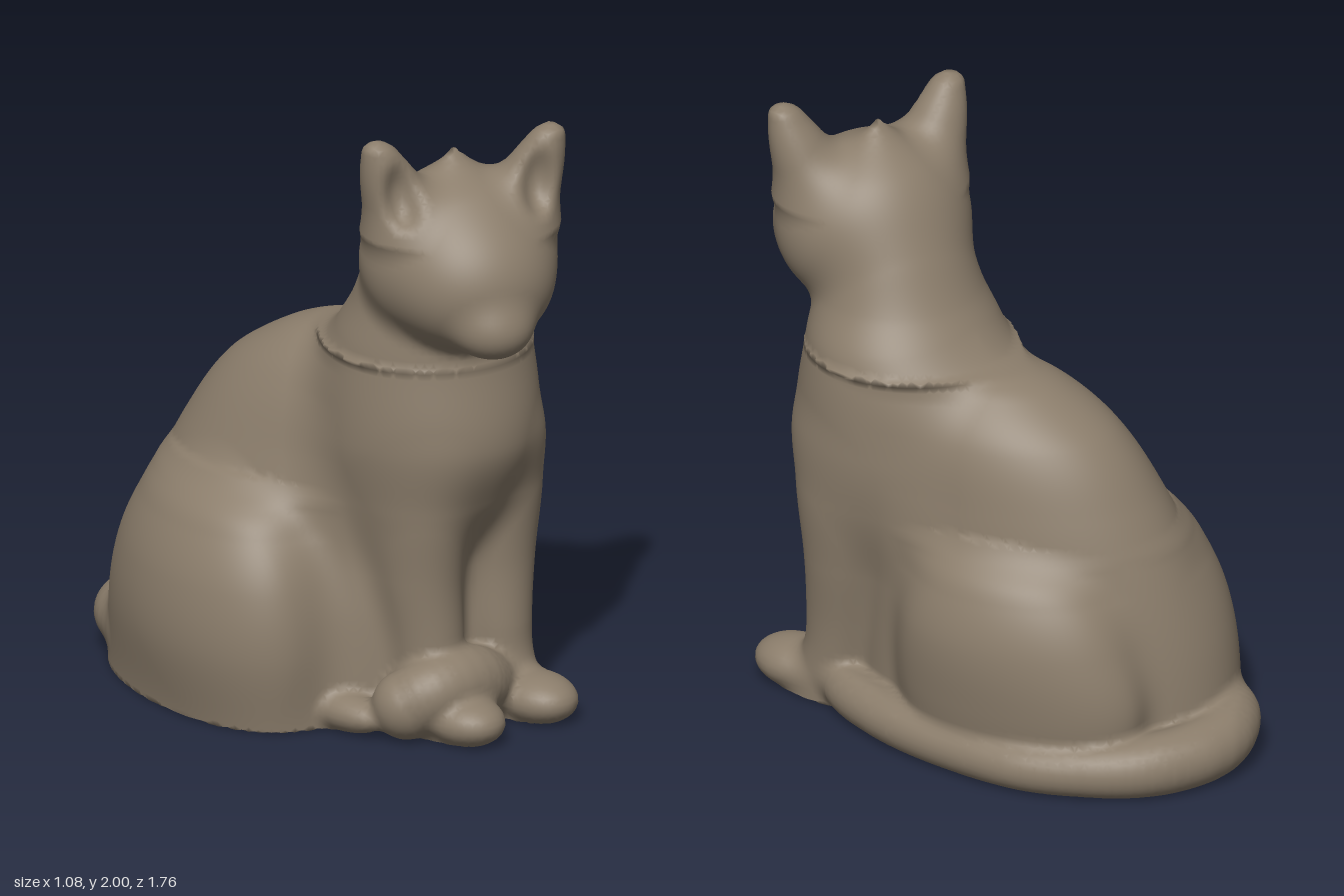
import * as THREE from 'three';

const fur = new THREE.MeshStandardMaterial({ color: 0x8b7d6b });
fur.name = 'taupe';
const { clamp, lerp } = THREE.MathUtils;

// ---- Shapes: each is a function (x, y, z) => rough distance to its surface ----

function ovalDistance(x, y, z, rx, ry, rz) {
  const a = x / rx, b = y / ry, c = z / rz;
  const k0 = Math.sqrt(a * a + b * b + c * c);
  const k1 = Math.sqrt((a / rx) ** 2 + (b / ry) ** 2 + (c / rz) ** 2);
  return k1 < 1e-9 ? -Math.min(rx, rz) : k0 * (k0 - 1) / k1;
}

const ellipsoid = (c, r) => (x, y, z) => ovalDistance(x - c[0], y - c[1], z - c[2], ...r);

// Smooth loft through horizontal ovals (y, centreX, centreZ, radiusX, radiusZ); shear slants them in plan
function loft(shear, ...rows) {
  const last = rows.length - 1, y0 = rows[0][0], y1 = rows[last][0];
  const section = height => {
    const y = clamp(height, y0, y1);
    let i = 0;
    while (i < last - 1 && y > rows[i + 1][0]) i++;
    const a = rows[i], b = rows[i + 1], p = rows[Math.max(0, i - 1)], q = rows[Math.min(last, i + 2)];
    const w = b[0] - a[0], t = (y - a[0]) / w, t2 = t * t, t3 = t2 * t;
    return [1, 2, 3, 4].map(c => {
      const m0 = (b[c] - p[c]) / (b[0] - p[0]) * w, m1 = (q[c] - a[c]) / (q[0] - a[0]) * w;
      const v = a[c] + (3 * t2 - 2 * t3) * (b[c] - a[c]) + (t3 - 2 * t2 + t) * m0 + (t3 - t2) * m1;
      return c > 2 ? Math.max(v, 0.004) : v;
    });
  };
  // tabulate the sections with the steepness of the side
  const steps = 400;
  const table = Array.from({ length: steps + 1 }, (_, i) => {
    const y = lerp(y0, y1, i / steps), lo = section(y - 0.012), hi = section(y + 0.012);
    const slope = Math.max(Math.abs(hi[2] - lo[2]), Math.abs(hi[3] - lo[3])) / 0.024;
    return [...section(y), Math.hypot(1, slope)];
  });
  return (x, y, z) => {
    const over = Math.max(y0 - y, y - y1, 0);
    if (over > 0.15) return 1;
    const f = clamp((y - y0) / (y1 - y0), 0, 1) * steps, i = Math.min(Math.floor(f), steps - 1);
    const [cx, cz, rx, rz, steep] = table[i].map((v, c) => lerp(v, table[i + 1][c], f - i));
    return ovalDistance(x - cx - shear * (z - cz), 0, z - cz, rx, 1, rz) / steep + over;
  };
}

// Round rope along a curve, with radii spread evenly over its length
function rope(radii, ...points) {
  const curve = new THREE.CatmullRomCurve3(points.map(p => new THREE.Vector3(...p)));
  const beads = curve.getSpacedPoints(120).map((c, i) => {
    const f = i / 120 * (radii.length - 1), k = Math.min(Math.floor(f), radii.length - 2);
    return { c, r: lerp(radii[k], radii[k + 1], f - k) };
  });
  return (x, y, z) => {
    if (y > 0.5) return 1;
    let best = 1;
    for (const { c, r } of beads) {
      best = Math.min(best, Math.sqrt((x - c.x) ** 2 + (y - c.y) ** 2 + (z - c.z) ** 2) - r);
    }
    return best;
  };
}

// Places a shape in the frame of the head, which is turned a little to its right
const COS = Math.cos(0.44), SIN = Math.sin(0.44);
const onHead = shape => (x, y, z) => {
  const dx = x - 0.075, dz = z - 0.55;
  return y < 1.05 ? 1 : shape(dx * COS + dz * SIN, y - 1.57, dz * COS - dx * SIN);
};

// ---- The cat, part by part; softness is the width of the blend at each join ----

const parts = [];
const add = (name, softness, shape) => parts.push({ name, softness, shape });

add('chestAndNeck', 0.1, loft(0,
  [0, 0.15, 0.14, 0.22, 0.3], [0.5, 0.14, 0.17, 0.25, 0.31], [0.75, 0.14, 0.26, 0.31, 0.355],
  [0.95, 0.14, 0.32, 0.34, 0.37], [1.25, 0.14, 0.34, 0.32, 0.31], [1.4, 0.12, 0.385, 0.27, 0.255],
  [1.6, 0.1, 0.44, 0.23, 0.21], [1.78, 0.09, 0.5, 0.15, 0.14]));
add('back', 0.1, loft(0.15,
  [0, -0.02, -0.15, 0.39, 0.61], [0.35, 0, -0.14, 0.39, 0.575], [0.6, 0.03, -0.12, 0.37, 0.52],
  [0.85, 0.06, -0.08, 0.325, 0.45], [1.05, 0.09, 0, 0.275, 0.4], [1.17, 0.1, 0.05, 0.2, 0.28],
  [1.225, 0.11, 0.06, 0.11, 0.15], [1.24, 0.11, 0.06, 0.005, 0.005]));
add('rightHaunch', 0.1, loft(-0.12,
  [0, -0.24, -0.2, 0.25, 0.44], [0.25, -0.25, -0.2, 0.285, 0.46], [0.45, -0.25, -0.2, 0.27, 0.43],
  [0.6, -0.24, -0.2, 0.225, 0.36], [0.7, -0.23, -0.2, 0.16, 0.26], [0.78, -0.22, -0.2, 0.005, 0.01]));
add('leftHaunch', 0.07, loft(0.2,
  [0, 0.28, -0.27, 0.17, 0.36], [0.25, 0.285, -0.27, 0.215, 0.4], [0.45, 0.29, -0.25, 0.228, 0.37],
  [0.6, 0.285, -0.23, 0.2, 0.31], [0.7, 0.275, -0.2, 0.15, 0.23], [0.78, 0.27, -0.17, 0.005, 0.01]));
add('rightHindPaw', 0.03, ellipsoid([-0.19, 0.06, 0.28], [0.08, 0.065, 0.19]));

// forelegs and paws, mirrored about the chest centre
for (const side of ['left', 'right']) {
  const x = d => 0.165 + (side === 'left' ? d : -d);
  add(side + 'Foreleg', 0.06, loft(0,
    [0, x(0.15), 0.52, 0.1, 0.15], [0.18, x(0.145), 0.465, 0.105, 0.12], [0.3, x(0.145), 0.445, 0.113, 0.128],
    [0.5, x(0.155), 0.42, 0.13, 0.15], [0.75, x(0.155), 0.4, 0.155, 0.2], [0.95, x(0.13), 0.4, 0.16, 0.22],
    [1.1, x(0.1), 0.4, 0.11, 0.14]));
  add(side + 'Paw', 0.04, ellipsoid([x(0.155), 0.068, 0.635], [0.115, 0.08, 0.145]));
}

// tail sweeping round the left side and curling over the right paw
add('tail', 0.03, rope([0.1, 0.105, 0.1, 0.085, 0.08, 0.08, 0.08, 0.085, 0.115, 0.11],
  [-0.26, 0.12, -0.58], [-0.19, 0.12, -0.71], [-0.03, 0.1, -0.775], [0.22, 0.09, -0.69], [0.41, 0.08, -0.43],
  [0.457, 0.075, -0.12], [0.435, 0.075, 0.18], [0.35, 0.08, 0.4], [0.22, 0.11, 0.51],
  [0.06, 0.16, 0.56], [-0.05, 0.15, 0.55], [-0.11, 0.11, 0.5]));

// head, narrowing to the muzzle, with broad-based hollow ears
add('skull', 0.05, onHead(ellipsoid([0, 0, -0.03], [0.315, 0.285, 0.27])));
add('face', 0.08, onHead(ellipsoid([0.02, -0.05, 0.12], [0.23, 0.2, 0.185])));
add('muzzle', 0.06, onHead(ellipsoid([0.035, -0.16, 0.235], [0.12, 0.095, 0.105])));
const earHollows = [];
for (const side of ['left', 'right']) {
  const s = side === 'left' ? 1 : -1;
  add(side + 'Ear', 0.08, onHead(loft(0,
    [0.1, s * 0.19, 0, 0.12, 0.13], [0.2, s * 0.205, 0, 0.115, 0.115], [0.3, s * 0.24, 0.01, 0.092, 0.085],
    [0.37, s * 0.267, 0.02, 0.066, 0.06], [0.41, s * 0.282, 0.025, 0.044, 0.04],
    [0.43, s * 0.285, 0.025, 0.006, 0.006])));
  earHollows.push(onHead(ellipsoid([s * 0.225, 0.27, 0.125], [0.055, 0.1, 0.075])));
}

// Soft union of all parts, less the ear hollows, cut flat at the ground
const softMin = (a, b, k) => Math.min(a, b) - Math.max(k - Math.abs(a - b), 0) ** 2 / (4 * k);
function field(x, y, z) {
  let d = 1;
  for (const { shape, softness } of parts) d = softMin(d, shape(x, y, z), softness);
  for (const hollow of earHollows) d = -softMin(-d, hollow(x, y, z), 0.04);
  return Math.max(d, -y);
}

const E = 0.006;
const gradient = (x, y, z) => new THREE.Vector3(
  field(x + E, y, z) - field(x - E, y, z),
  field(x, y + E, z) - field(x, y - E, z),
  field(x, y, z + E) - field(x, y, z - E)).normalize().toArray();

export function createModel() {
  // sample the field on a grid
  const h = 0.02, origin = [-0.63, -0.03, -0.96], size = [64, 105, 96];
  const step = [1, size[0], size[0] * size[1]];
  const values = new Float32Array(step[2] * size[2]);
  const eachNode = visit => {
    for (let n = 0; n < values.length; n++) {
      visit(n, [n % step[1], Math.floor(n / step[1]) % size[1], Math.floor(n / step[2])]);
    }
  };
  eachNode((n, g) => { values[n] = field(...g.map((v, a) => origin[a] + v * h)); });

  // one vertex in every cell the surface crosses
  const vertexOf = new Map(), position = [], normal = [], owner = [];
  eachNode((n, g) => {
    if (g.some((v, a) => v >= size[a] - 1)) return;
    const sum = [0, 0, 0];
    let count = 0;
    for (let c = 0; c < 8; c++) {
      for (let a = 0; a < 3; a++) {
        if (c >> a & 1) continue;
        const corner = [c & 1, c >> 1 & 1, c >> 2 & 1];
        const m = n + corner[0] + corner[1] * step[1] + corner[2] * step[2];
        const f0 = values[m], f1 = values[m + step[a]];
        if (f0 < 0 === f1 < 0) continue;
        corner[a] = f0 / (f0 - f1);
        corner.forEach((v, i) => { sum[i] += v; });
        count++;
      }
    }
    if (!count) return;
    const p = sum.map((v, a) => origin[a] + (g[a] + v / count) * h);
    const pull = clamp(field(...p), -h / 2, h / 2);
    gradient(...p).forEach((v, a) => { p[a] -= v * pull; });
    p[1] = Math.max(0, p[1]);
    vertexOf.set(n, owner.length);
    position.push(...p);
    normal.push(...gradient(...p));
    const near = parts.map(({ shape }) => shape(...p));
    owner.push(near.indexOf(Math.min(...near)));
  });

  // join them with quads, sorted by the part they belong to
  const faces = parts.map(() => []);
  eachNode((n, g) => {
    for (let a = 0; a < 3; a++) {
      const u = step[(a + 1) % 3], v = step[(a + 2) % 3];
      if (g[a] >= size[a] - 1 || values[n] < 0 === values[n + step[a]] < 0) continue;
      const q = [n - u - v, n - v, n, n - u].map(c => vertexOf.get(c));
      if (values[n] >= 0) q.reverse();
      faces[owner[q[0]]].push(q[0], q[1], q[2], q[0], q[2], q[3]);
    }
  });

  const cat = new THREE.Group();
  cat.name = 'sittingCat';
  parts.forEach(({ name }, i) => {
    const whole = new THREE.BufferGeometry();
    whole.setAttribute('position', new THREE.Float32BufferAttribute(position, 3));
    whole.setAttribute('normal', new THREE.Float32BufferAttribute(normal, 3));
    whole.setIndex(faces[i]);
    const mesh = new THREE.Mesh(whole.toNonIndexed(), fur);
    mesh.name = name;
    cat.add(mesh);
  });
  return cat;
}
